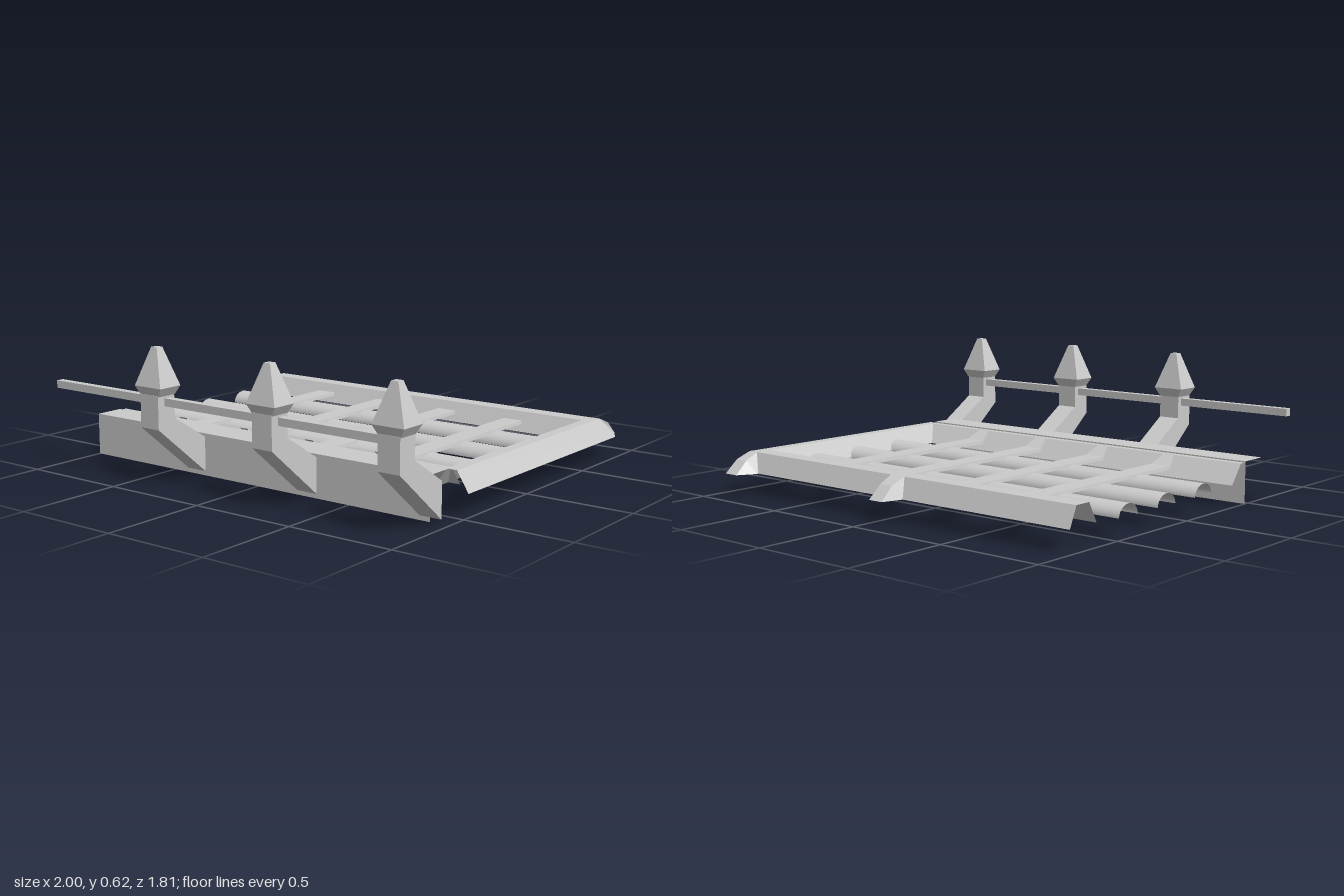
import * as THREE from 'three';

const solid = new THREE.MeshStandardMaterial({ color: 0xcccccc, flatShading: true });
const sheet = new THREE.MeshStandardMaterial({ color: 0xcccccc, flatShading: true, side: THREE.DoubleSide });
const smoothSheet = new THREE.MeshStandardMaterial({ color: 0xcccccc, side: THREE.DoubleSide });

// Skin a list of equal-length cross-sections with flat quads
function loft(rings) {
  const pos = [];
  for (let i = 0; i < rings.length - 1; i++) {
    for (let j = 0; j < rings[i].length - 1; j++) {
      const a = rings[i][j], b = rings[i][j + 1];
      const c = rings[i + 1][j + 1], d = rings[i + 1][j];
      pos.push(...a, ...b, ...c, ...a, ...c, ...d);
    }
  }
  const g = new THREE.BufferGeometry();
  g.setAttribute('position', new THREE.Float32BufferAttribute(pos, 3));
  g.computeVertexNormals();
  return g;
}

// Run a [z, y] profile along x
const alongX = (profile, x0, x1) => loft([x0, x1].map(x => profile.map(([z, y]) => [x, y, z])));

// Open channel running back along z, ending in a drooping tapered tip
function tippedChannel(cx, zFront, halfTop, halfBase, zBase) {
  const ring = (base, yb, zb, top, yt, zt) => [
    [cx - base, yb, zb], [cx - top, yt, zt], [cx + top, yt, zt], [cx + base, yb, zb],
  ];
  return loft([
    ring(halfBase, 0.1, zFront, halfTop, 0.19, zFront),
    ring(halfBase, 0.1, zBase, halfTop, 0.19, -0.77),
    ring(0.038, 0.1, -0.905, 0.034, 0.16, -0.84),
    ring(0.038, 0.1, -0.905, 0.038, 0.1, -0.905),
  ]);
}

export function createModel() {
  const model = new THREE.Group();
  const add = (name, geometry, material, parent = model) => {
    const m = new THREE.Mesh(geometry, material);
    m.name = name;
    parent.add(m);
    return m;
  };

  // Eaves beam: square tube with open ends
  add('frontBeam', alongX([[0.47, 0], [0.47, 0.195], [0.61, 0.195], [0.61, 0], [0.47, 0]], -1, 0.91), solid);

  // Roof frame channels
  add('frontFrame', alongX([[0.36, 0.1], [0.43, 0.19], [0.465, 0.19]], -1, 0.89), sheet);
  add('backFrame', alongX([[-0.81, 0.1], [-0.77, 0.19], [-0.69, 0.19], [-0.64, 0.1]], -1, 0.89), sheet);
  add('sideFrame', tippedChannel(0.915, 0.465, 0.026, 0.083, -0.82), sheet);
  add('ridgeTip', tippedChannel(-0.038, -0.74, 0.04, 0.078, -0.77), sheet);

  // Half-round slats
  for (const z of [-0.427, -0.155, 0.125]) {
    const g = new THREE.CylinderGeometry(0.065, 0.065, 1.86, 12, 1, true, 0, Math.PI);
    g.rotateZ(Math.PI / 2);
    g.scale(1, 0.82, 1);
    g.translate(-0.07, 0.091, z);
    add('slat', g, smoothSheet);
  }

  // Flat cross bars, bent up and narrowed over the front frame
  for (let i = 0; i < 4; i++) {
    const x = -0.615 + i * 0.381;
    const ring = (z, y, h, t) => [
      [x - h, y - t, z], [x - h + 0.003, y, z], [x + h - 0.003, y, z], [x + h, y - t, z], [x - h, y - t, z],
    ];
    add('crossBar', loft([
      ring(0.432, 0.197, 0.026, 0.012),
      ring(0.36, 0.15, 0.053, 0.016),
      ring(-0.67, 0.15, 0.053, 0.016),
    ]), sheet);
  }

  // Cranked railing posts with pointed caps
  const crank = new THREE.Shape([
    [0.61, 0.02], [0.9, 0.26], [0.9, 0.41], [0.8, 0.41], [0.8, 0.3], [0.61, 0.18],
  ].map(([z, y]) => new THREE.Vector2(-z, y)));
  for (const x of [-0.363, 0.277, 0.912]) {
    const post = new THREE.Group();
    post.name = 'post';
    post.position.x = x;
    model.add(post);
    const g = new THREE.ExtrudeGeometry(crank, { depth: 0.106, bevelEnabled: false });
    g.translate(0, 0, -0.053);
    g.rotateY(Math.PI / 2);
    add('postShaft', g, solid, post);
    const level = (y, hx, hz) => [[-1, -1], [-1, 1], [1, 1], [1, -1], [-1, -1]]
      .map(([sx, sz]) => [sx * hx, y, 0.847 + sz * hz]);
    add('postCap', loft([
      level(0.405, 0, 0), level(0.405, 0.053, 0.05), level(0.445, 0.077, 0.062),
      level(0.615, 0.017, 0.017), level(0.615, 0, 0),
    ]), solid, post);
  }

  // Handrail through the posts
  const rail = add('handrail', new THREE.BoxGeometry(1.9, 0.035, 0.036), solid);
  rail.position.set(-0.05, 0.378, 0.842);

  return model;
}
